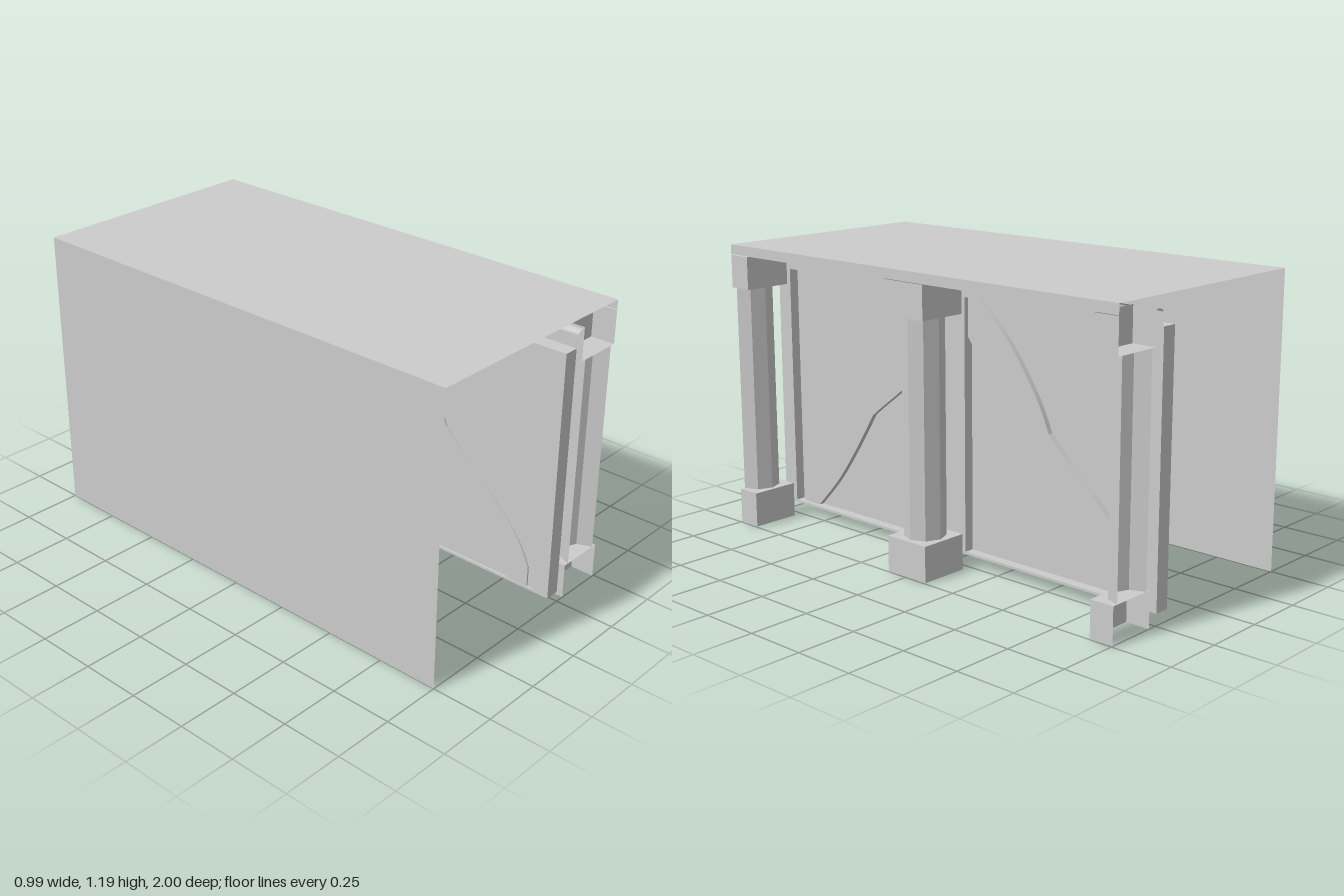
import * as THREE from 'three';

const material = new THREE.MeshStandardMaterial({ color: 0xcccccc, side: THREE.DoubleSide, flatShading: true });

function add(parent, name, geometry, x = 0, y = 0, z = 0) {
  const mesh = new THREE.Mesh(geometry, material);
  mesh.name = name;
  mesh.position.set(x, y, z);
  parent.add(mesh);
  return mesh;
}

// Box given by its limits
function block(parent, name, x0, x1, y0, y1, z0, z1) {
  return add(parent, name, new THREE.BoxGeometry(x1 - x0, y1 - y0, z1 - z0),
    (x0 + x1) / 2, (y0 + y1) / 2, (z0 + z1) / 2);
}

// Flat sheets facing x, y and z
function sheetX(parent, name, x, y0, y1, z0, z1) {
  return add(parent, name, new THREE.PlaneGeometry(z1 - z0, y1 - y0).rotateY(Math.PI / 2), x, (y0 + y1) / 2, (z0 + z1) / 2);
}
function sheetY(parent, name, y, x0, x1, z0, z1) {
  return add(parent, name, new THREE.PlaneGeometry(x1 - x0, z1 - z0).rotateX(-Math.PI / 2), (x0 + x1) / 2, y, (z0 + z1) / 2);
}
function sheetZ(parent, name, z, x0, x1, y0, y1) {
  return add(parent, name, new THREE.PlaneGeometry(x1 - x0, y1 - y0), (x0 + x1) / 2, (y0 + y1) / 2, z);
}

// Hollow block with one horizontal lid; sides on the end planes stay open
function hollowBlock(parent, name, y0, y1, lidY, z0, z1) {
  const group = new THREE.Group();
  group.name = name;
  const x0 = 0.287, x1 = 0.493;
  sheetX(group, name + 'Inner', x0, y0, y1, z0, z1);
  sheetX(group, name + 'Outer', x1, y0, y1, z0, z1);
  sheetY(group, name + 'Lid', lidY, x0, x1, z0, z1);
  for (const z of [z0, z1]) if (Math.abs(z) < 0.99) sheetZ(group, name + 'Side', z, x0, x1, y0, y1);
  parent.add(group);
}

// Octagonal column with base and capital; end columns are cut in half
function column(parent, z) {
  const group = new THREE.Group();
  group.name = 'column';
  const z0 = Math.max(z - 0.1, -1), z1 = Math.min(z + 0.1, 1);
  const start = z > 0 ? Math.PI / 2 : z < 0 ? -Math.PI / 2 : 0;
  const shaft = new THREE.CylinderGeometry(0.082, 0.082, 0.865, z ? 4 : 8, 1, true, start, z ? Math.PI : Math.PI * 2);
  add(group, 'shaft', shaft, 0.39, 0.5775, z);
  hollowBlock(group, 'base', 0, 0.145, 0.145, z0, z1);
  hollowBlock(group, 'capital', 1.01, 1.145, 1.01, z0, z1);
  parent.add(group);
}

// Wavy diagonal brace outline in (z, y)
function braceGeometry() {
  const v = (p) => p.map(([a, b]) => new THREE.Vector2(a, b));
  const shape = new THREE.Shape();
  shape.moveTo(0.9, 0.05);
  shape.lineTo(0.9, 0.14);
  shape.splineThru(v([[0.84, 0.25], [0.7, 0.4], [0.57, 0.51], [0.48, 0.6]]));
  shape.splineThru(v([[0.41, 0.74], [0.27, 0.93], [0.12, 1.07]]));
  shape.lineTo(0.075, 1.07);
  shape.lineTo(0.075, 0.91);
  shape.splineThru(v([[0.17, 0.78], [0.27, 0.66], [0.41, 0.55], [0.46, 0.51]]));
  shape.splineThru(v([[0.57, 0.34], [0.68, 0.19], [0.81, 0.05]]));
  shape.closePath();
  // Extrusion depth becomes -x after turning the outline into the z-y plane
  return new THREE.ExtrudeGeometry(shape, { depth: 0.04, bevelEnabled: false, curveSegments: 14 }).rotateY(-Math.PI / 2);
}

export function createModel() {
  const model = new THREE.Group();
  model.name = 'colonnadeBlock';

  // Roof, edge lip and plain far wall
  sheetY(model, 'roof', 1.187, -0.5, 0.493, -1, 1);
  sheetX(model, 'roofLip', 0.493, 1.147, 1.187, -1, 1);
  sheetX(model, 'farWall', -0.5, 0, 1.187, -1, 1);

  // Columns
  for (const z of [-1, 0, 1]) column(model, z);

  // Recessed screen with posts, rails and braces
  const screen = new THREE.Group();
  screen.name = 'screen';
  model.add(screen);
  block(screen, 'panel', 0.192, 0.204, 0.05, 1.07, -1, 1);
  block(screen, 'middlePost', 0.183, 0.245, 0.05, 1.07, -0.075, 0.075);
  for (const s of [-1, 1]) {
    block(screen, 'endPost', 0.183, 0.245, 0.05, 1.07, s > 0 ? 0.93 : -1, s > 0 ? 1 : -0.93);
    const brace = add(screen, 'brace', braceGeometry(), 0.225);
    brace.scale.z = s;
  }
  block(screen, 'bottomRail', 0.183, 0.245, 0.045, 0.055, -1, 1);
  block(screen, 'topRail', 0.183, 0.245, 1.065, 1.075, -1, 1);

  // Curved cornice above the screen
  sheetX(model, 'frieze', 0.25, 1.07, 1.125, -1, 1);
  const cove = new THREE.CylinderGeometry(0.015, 0.015, 2, 6, 1, true, -Math.PI / 2, Math.PI / 2).rotateX(-Math.PI / 2);
  cove.scale(2, 1, 1);
  const coveMesh = add(model, 'cove', cove, 0.28, 1.125, 0);
  // Keep the arc bulging upward
  cove.computeBoundingBox();
  if (cove.boundingBox.max.y < 0.01) coveMesh.scale.y = -1;
  return model;
}
